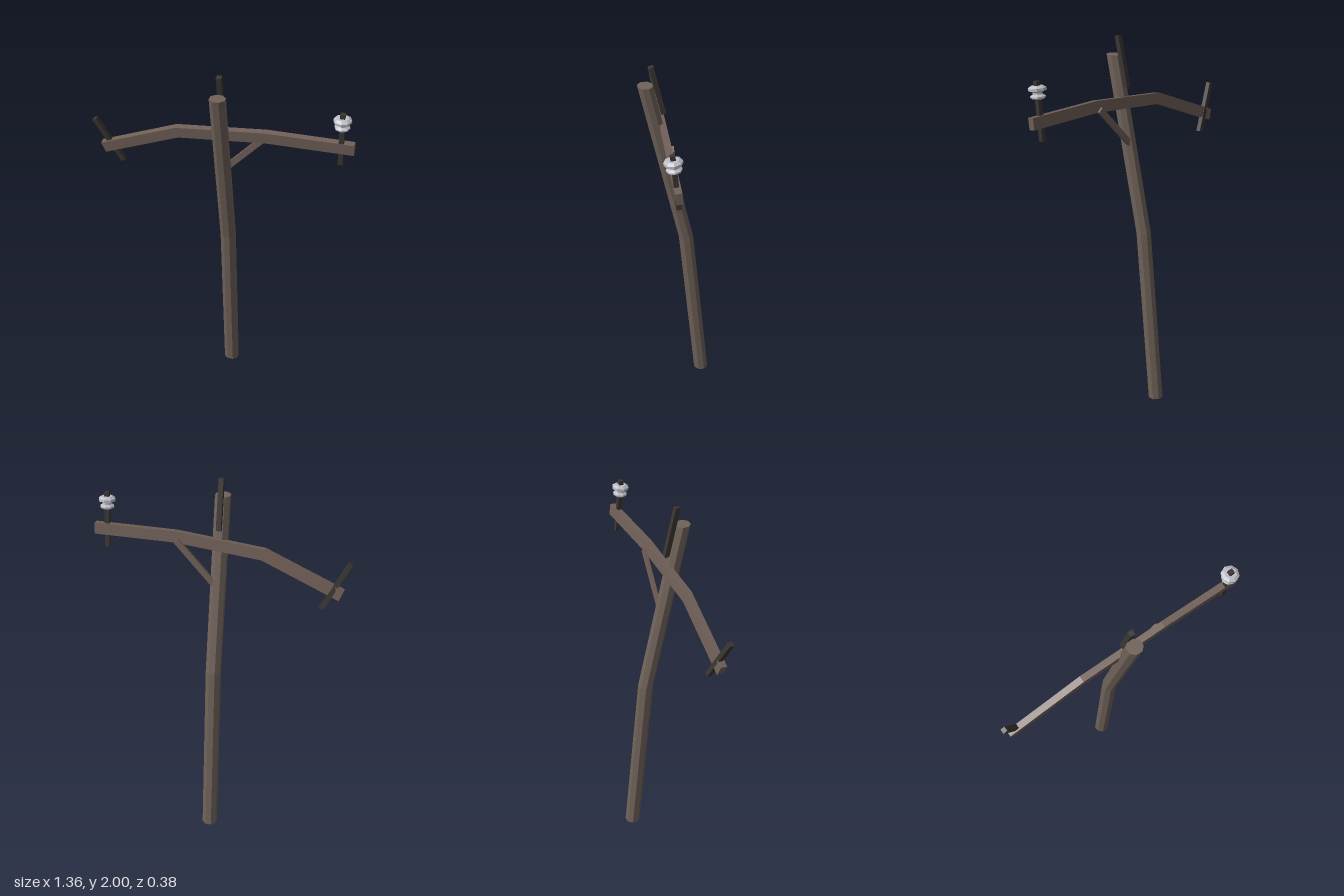
import * as THREE from 'three';

const mat = (name, color) => {
  const m = new THREE.MeshStandardMaterial({ color, flatShading: true });
  m.name = name;
  return m;
};

// Skins a list of equal-sized rings (counter-clockwise seen from the far end) and caps both ends.
function skin(rings) {
  const pos = [];
  const tri = (...pts) => pts.forEach((p) => pos.push(p.x, p.y, p.z));
  const n = rings[0].length;
  for (let r = 0; r < rings.length - 1; r++) {
    const a = rings[r], b = rings[r + 1];
    for (let i = 0; i < n; i++) {
      const j = (i + 1) % n;
      tri(a[i], a[j], b[j]);
      tri(a[i], b[j], b[i]);
    }
  }
  const first = rings[0], last = rings[rings.length - 1];
  for (let i = 1; i < n - 1; i++) {
    tri(first[0], first[i + 1], first[i]);
    tri(last[0], last[i], last[i + 1]);
  }
  const g = new THREE.BufferGeometry();
  g.setAttribute('position', new THREE.Float32BufferAttribute(pos, 3));
  g.computeVertexNormals();
  return g;
}

export function createModel() {
  const group = new THREE.Group();
  const poleWood = mat('pole wood', 0x6f6259);
  const armWood = mat('arm wood', 0x705f57);
  const iron = mat('dark iron', 0x3a3531);
  const ceramic = mat('grey ceramic', 0xbdbdc6);

  const add = (name, geometry, material) => {
    const mesh = new THREE.Mesh(geometry, material);
    mesh.name = name;
    group.add(mesh);
    return mesh;
  };

  // Square bar running between two points
  const bar = (name, from, to, width, depth, material) => {
    const a = new THREE.Vector3(...from), b = new THREE.Vector3(...to);
    const mesh = add(name, new THREE.BoxGeometry(width, a.distanceTo(b), depth), material);
    mesh.position.copy(a).lerp(b, 0.5);
    mesh.quaternion.setFromUnitVectors(new THREE.Vector3(0, 1, 0), b.sub(a).normalize());
    return mesh;
  };

  // Octagonal pole, bent forward halfway up
  const poleRings = [[0, -0.148], [0.965, -0.055], [1.9, 0.152]].map(([y, z]) =>
    Array.from({ length: 8 }, (_, i) => {
      const t = ((i + 0.5) * Math.PI) / 4;
      return new THREE.Vector3(0.01 + 0.042 * Math.cos(t), y, z - 0.041 * Math.sin(t));
    }));
  add('pole', skin(poleRings), poleWood);

  // Crossarm on the back of the pole: bent beam, leaning forward slightly
  // Each station: x, y, z, slope of the cut
  const lean = 0.12;
  const armRings = [
    [-0.637, 1.47, 0.036, 0.38],
    [-0.225, 1.637, 0.062, 0.24],
    [0.237, 1.68, 0.069, 0.045],
    [0.675, 1.68, 0.069, 0],
  ].map(([x, y, z, s]) => {
    const up = new THREE.Vector3(-Math.sin(s) * Math.cos(lean), Math.cos(s) * Math.cos(lean), Math.sin(lean));
    const out = new THREE.Vector3(0, -Math.sin(lean), Math.cos(lean));
    return [[1, -1], [1, 1], [-1, 1], [-1, -1]].map(([u, v]) =>
      new THREE.Vector3(x, y, z).addScaledVector(up, u * 0.03).addScaledVector(out, v * 0.017));
  });
  add('crossarm', skin(armRings), armWood);

  // Diagonal brace under the left half of the arm
  bar('brace', [0.012, 1.432, 0.028], [0.23, 1.665, 0.045], 0.032, 0.016, armWood);

  // Iron pins
  bar('topPin', [0.01, 1.74, 0.062], [0.01, 2.0, 0.122], 0.026, 0.026, iron);
  bar('rightArmPin', [-0.54, 1.392, 0.018], [-0.67, 1.64, 0.058], 0.025, 0.025, iron);
  const pin = bar('leftArmPin', [0.61, 1.583, 0.063], [0.61, 1.875, 0.093], 0.024, 0.024, iron);

  // Grooved insulator on the left pin
  const profile = [
    [0, -0.034], [0.026, -0.034], [0.038, -0.025], [0.038, -0.018], [0.024, -0.009],
    [0.024, 0.001], [0.045, 0.009], [0.045, 0.022], [0.03, 0.032], [0, 0.032],
  ].map(([r, y]) => new THREE.Vector2(r, y));
  const insulator = add('insulator', new THREE.LatheGeometry(profile, 8), ceramic);
  insulator.position.set(0.61, 1.821, 0.0875);
  insulator.quaternion.copy(pin.quaternion);

  return group;
}
